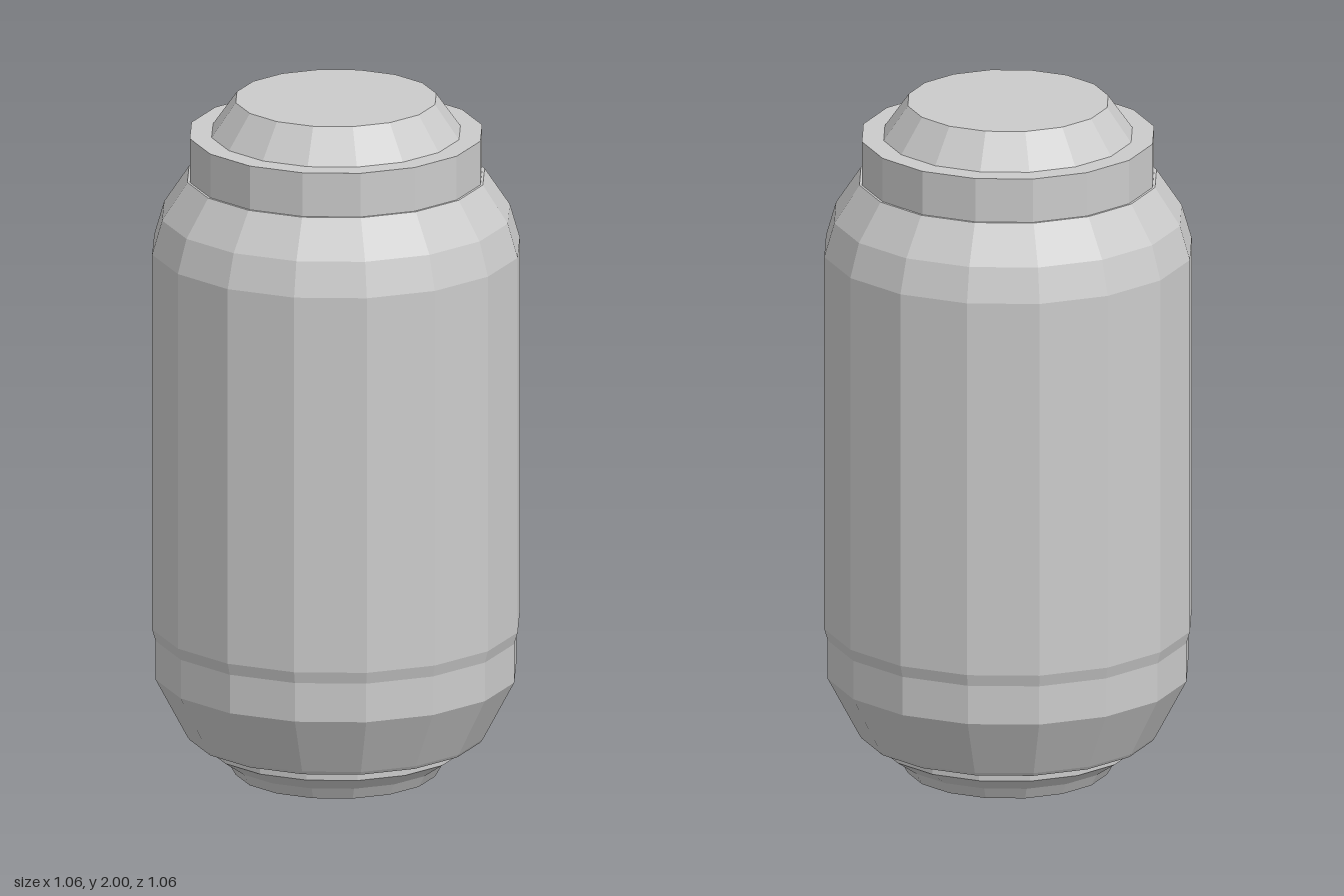
import * as THREE from 'three';

const SIDES = 16;

// Each part is a [radius, height] profile, listed bottom to top and turned on the y axis
const PARTS = {
  // Recessed foot with a closed underside
  base: [[0, 0], [0.29, 0], [0.31, 0.035], [0.373, 0.078], [0.373, 0.11]],
  // Lower rim, tapered bottom, shallow step, straight wall and sloped shoulder
  body: [
    [0.373, 0.11], [0.423, 0.11], [0.43, 0.12], [0.522, 0.295], [0.522, 0.41],
    [0.532, 0.445], [0.532, 1.56], [0.503, 1.66], [0.43, 1.77], [0.423, 1.77],
  ],
  // Band around the neck with a flat ledge on top
  collar: [[0.423, 1.77], [0.423, 1.9], [0.36, 1.9]],
  // Tapered lid with a flat top
  lid: [[0.36, 1.9], [0.29, 2], [0, 2]],
};

export function createModel() {
  const group = new THREE.Group();
  group.name = 'canister';
  const material = new THREE.MeshStandardMaterial({ color: 0xcccccc, flatShading: true });
  for (const [name, profile] of Object.entries(PARTS)) {
    const points = profile.map(([r, y]) => new THREE.Vector2(r, y));
    const mesh = new THREE.Mesh(new THREE.LatheGeometry(points, SIDES), material);
    mesh.name = name;
    group.add(mesh);
  }
  return group;
}
